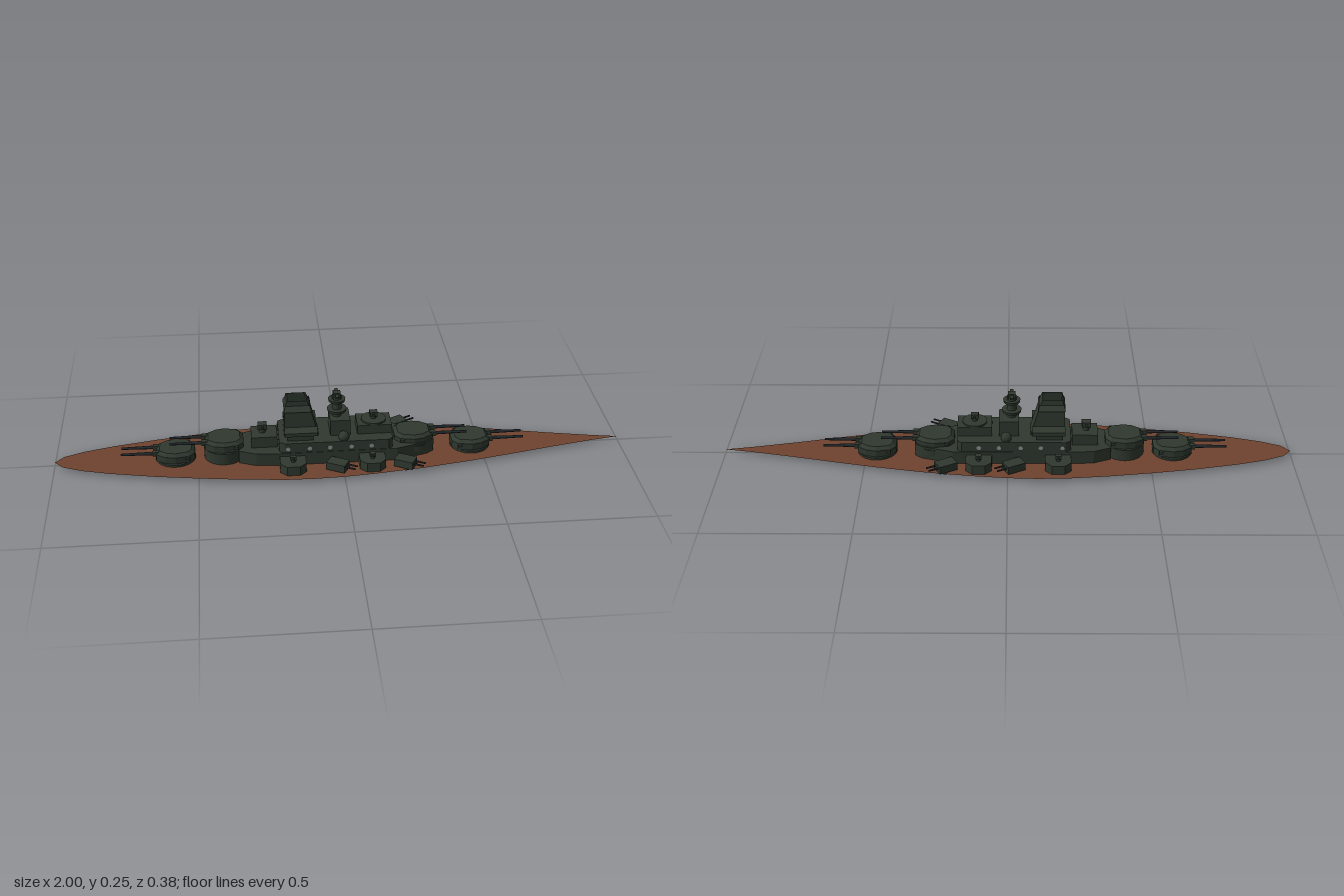
import * as THREE from 'three';

const mat = (name, color, side = THREE.FrontSide) =>
  Object.assign(new THREE.MeshStandardMaterial({ color, side }), { name });

export function createModel() {
  const green = mat('hullGreen', 0x2f382f, THREE.DoubleSide);
  const wood = mat('deckBrown', 0x6e432e, THREE.DoubleSide);
  const dark = mat('gunMetal', 0x20262a);
  const grey = mat('lightGrey', 0x8b8f8f);
  const ship = new THREE.Group();
  ship.name = 'battleship';

  const add = (name, geo, m, x = 0, y = 0, z = 0, parent = ship) => {
    const o = new THREE.Mesh(geo, m);
    o.name = name;
    o.position.set(x, y, z);
    parent.add(o);
    return o;
  };
  const group = (name, x, y, z, parent = ship) => {
    const g = new THREE.Group();
    g.name = name;
    g.position.set(x, y, z);
    parent.add(g);
    return g;
  };
  const box = (name, x0, x1, y0, y1, hz, m = green, parent = ship, z = 0) =>
    add(name, new THREE.BoxGeometry(x1 - x0, y1 - y0, hz * 2), m, (x0 + x1) / 2, (y0 + y1) / 2, z, parent);
  const drum = (name, r, x, y0, y1, z = 0, parent = ship, r2 = r, n = 24) =>
    add(name, new THREE.CylinderGeometry(r2, r, y1 - y0, n), green, x, (y0 + y1) / 2, z, parent);

  // Half outline [x, halfWidth] to a closed symmetric plan
  const mirror = half => [...half, ...half.slice().reverse().filter(p => p[1] > 0).map(([x, z]) => [x, -z])];
  const rect = (x0, x1, hz) => mirror([[x0, hz], [x1, hz]]);
  const toShape = (pts, hole) => {
    const s = new THREE.Shape(pts.map(p => new THREE.Vector2(...p)));
    if (hole) s.holes.push(new THREE.Path(hole.map(p => new THREE.Vector2(...p))));
    return s;
  };
  const flat = (pts, hole) => new THREE.ShapeGeometry(toShape(pts, hole)).rotateX(-Math.PI / 2);
  const slab = (pts, h) =>
    new THREE.ExtrudeGeometry(toShape(pts), { depth: h, bevelEnabled: false }).rotateX(-Math.PI / 2);
  // Side walls running between two plans with the same number of points
  const walls = (a, ya, b, yb) => {
    const pos = [];
    a.forEach((p, i) => {
      const j = (i + 1) % a.length;
      const A = [p[0], ya, -p[1]], B = [a[j][0], ya, -a[j][1]];
      const C = [b[j][0], yb, -b[j][1]], D = [b[i][0], yb, -b[i][1]];
      pos.push(...A, ...C, ...B, ...A, ...D, ...C);
    });
    const g = new THREE.BufferGeometry();
    g.setAttribute('position', new THREE.Float32BufferAttribute(pos, 3));
    g.computeVertexNormals();
    return g;
  };
  const shell = (name, plan, y0, y1, hole) => {
    const g = group(name, 0, 0, 0);
    add(name + 'Walls', walls(plan, y0, plan, y1), green, 0, 0, 0, g);
    add(name + 'Roof', flat(plan, hole), green, 0, y1, 0, g);
  };

  // Thin deck, open beneath the hollow superstructure
  const lower = mirror([[-0.36, 0.06], [-0.3, 0.085], [-0.22, 0.09], [0.19, 0.09], [0.3, 0.055], [0.325, 0.035]]);
  const upper = mirror([[-0.22, 0.075], [-0.2, 0.088], [0.16, 0.088], [0.175, 0.075]]);
  const edge = mirror([[-1, 0], [-0.97, 0.035], [-0.9, 0.065], [-0.8, 0.093], [-0.65, 0.125], [-0.5, 0.15],
    [-0.35, 0.171], [-0.2, 0.186], [-0.1, 0.188], [0, 0.184], [0.12, 0.172], [0.28, 0.15], [0.45, 0.118],
    [0.6, 0.085], [0.75, 0.05], [0.9, 0.018], [1, 0]]);
  add('deck', flat(edge, lower), wood, 0, 0.013, 0);

  // Hollow superstructure in two tiers, the funnel passing through
  const well = rect(-0.185, -0.125, 0.03);
  shell('lowerSuperstructure', lower, 0.013, 0.06, upper.map(([x, z]) => [x * 0.97, z * 0.95]));
  shell('upperSuperstructure', upper, 0.06, 0.097, well);

  // Grey cross tubes ending as portholes
  for (const x of [-0.19, -0.115, -0.045, 0.03, 0.1])
    add('crossTube', new THREE.CylinderGeometry(0.008, 0.008, 0.18, 16).rotateX(Math.PI / 2), grey, x, 0.076, 0);

  // Raked open tower with a flared collar
  const base = mirror([[-0.2, 0.036], [-0.08, 0.036]]);
  const neck = mirror([[-0.197, 0.033], [-0.108, 0.033]]);
  const top = mirror([[-0.19, 0.031], [-0.12, 0.031]]);
  const tower = group('tower', 0, 0, 0);
  add('towerWalls', walls(base, 0.097, neck, 0.2), green, 0, 0, 0, tower);
  add('towerHead', walls(neck, 0.2, top, 0.232), green, 0, 0, 0, tower);
  add('towerRim', flat(top, well), green, 0, 0.232, 0, tower);
  const wide = rect(-0.2, -0.105, 0.05), slim = rect(-0.195, -0.11, 0.035);
  add('collarSide', walls(wide, 0.197, slim, 0.215), green, 0, 0, 0, tower);
  add('collarUnderside', flat(wide, well), green, 0, 0.197, 0, tower);
  for (const s of [1, -1]) {
    box('towerPlatform', -0.2, -0.085, 0.118, 0.131, 0.022, green, ship, s * 0.058);
    box('platformSupport', -0.19, -0.1, 0.097, 0.118, 0.015, green, ship, s * 0.055);
  }

  // Mast with lookout platforms and rangefinder
  box('mastBase', -0.04, 0.03, 0.097, 0.155, 0.045);
  drum('mastColumn', 0.017, -0.014, 0.155, 0.232);
  drum('mastPlatform', 0.032, -0.014, 0.172, 0.182, 0, ship, 0.034);
  drum('mastPlatform', 0.028, -0.014, 0.21, 0.22, 0, ship, 0.03);
  box('mastHead', -0.027, -0.001, 0.225, 0.245, 0.013);
  box('rangefinder', -0.02, -0.008, 0.235, 0.241, 0.033);

  // Gun directors: pedestal, head and sight arms
  const director = (x, y, z, k = 1) => {
    const g = group('director', x, y, z);
    g.scale.setScalar(k);
    drum('directorPedestal', 0.011, 0, 0, 0.017, 0, g);
    box('directorHead', -0.016, 0.016, 0.015, 0.033, 0.014, green, g);
    box('directorArms', -0.005, 0.005, 0.02, 0.027, 0.024, green, g);
  };
  box('bridgeBlock', -0.315, -0.225, 0.06, 0.1, 0.042);
  director(-0.275, 0.1, 0);
  box('aftBlock', 0.055, 0.175, 0.097, 0.13, 0.043);
  drum('aftPlatform', 0.043, 0.115, 0.13, 0.136);
  director(0.115, 0.134, 0, 0.85);

  // Searchlight domes on the shoulders
  for (const s of [1, -1]) {
    drum('domeBase', 0.016, 0.005, 0.094, 0.104, s * 0.07);
    add('searchlightDome', new THREE.SphereGeometry(0.019, 20, 14), green, 0.005, 0.107, s * 0.07);
  }

  // Main twin turrets, built facing +x
  const house = mirror([[-0.068, 0.03], [-0.05, 0.052], [0.0, 0.062], [0.035, 0.054], [0.066, 0.032]]);
  const turret = (x, y0, y, dir) => {
    const g = group('mainTurret', x, 0, 0);
    if (dir < 0) g.rotation.y = Math.PI;
    drum('barbette', 0.07, 0, y0, y, 0, g, 0.07, 32);
    add('gunHouse', slab(house, 0.024), green, 0, y, 0, g);
    const roof = house.map(([a, b]) => [a * 0.82, b * 0.82]);
    add('houseSlope', walls(house, y + 0.024, roof, y + 0.035), green, 0, 0, 0, g);
    add('houseRoof', flat(roof), green, 0, y + 0.035, 0, g);
    box('turretRangefinder', -0.05, -0.035, y + 0.014, y + 0.024, 0.062, green, g);
    for (const z of [0.021, -0.021]) {
      box('gunMantlet', 0.045, 0.078, y + 0.015, y + 0.031, 0.009, green, g, z);
      add('gunBarrel', new THREE.CylinderGeometry(0.004, 0.0065, 0.125, 12).rotateZ(-Math.PI / 2),
        dark, 0.126, y + 0.023, z, g);
    }
  };
  turret(-0.58, 0.007, 0.021, -1);
  turret(-0.41, 0, 0.055, -1);
  turret(0.255, 0.03, 0.052, 1);
  turret(0.46, 0.007, 0.021, 1);

  // Side sponsons with directors, and angled twin secondary guns
  const pod = [[-0.045, 0.085], [0.045, 0.085], [0.045, 0.14], [0.022, 0.163], [-0.022, 0.163], [-0.045, 0.14]];
  for (const s of [1, -1]) {
    for (const x of [-0.175, 0.1]) {
      const pts = pod.map(([a, b]) => [a, -s * b]);
      add('sponson', slab(pts, 0.034), green, x, 0.014, 0);
      director(x, 0.048, s * 0.126, 0.65);
    }
    for (const x of [-0.02, 0.215]) {
      const g = group('secondaryTurret', x, 0, s * 0.135);
      g.rotation.y = s * -0.0 + s * 0.5 * (s * s) * -1 * -1 * -1;
      drum('secondaryBase', 0.016, 0, 0.006, 0.02, 0, g);
      box('secondaryHouse', -0.036, 0.032, 0.018, 0.046, 0.023, green, g);
      for (const z of [0.01, -0.01])
        add('secondaryBarrel', new THREE.CylinderGeometry(0.003, 0.0035, 0.04, 8).rotateZ(-Math.PI / 2),
          dark, 0.048, 0.036, z, g);
    }
  }
  return ship;
}
